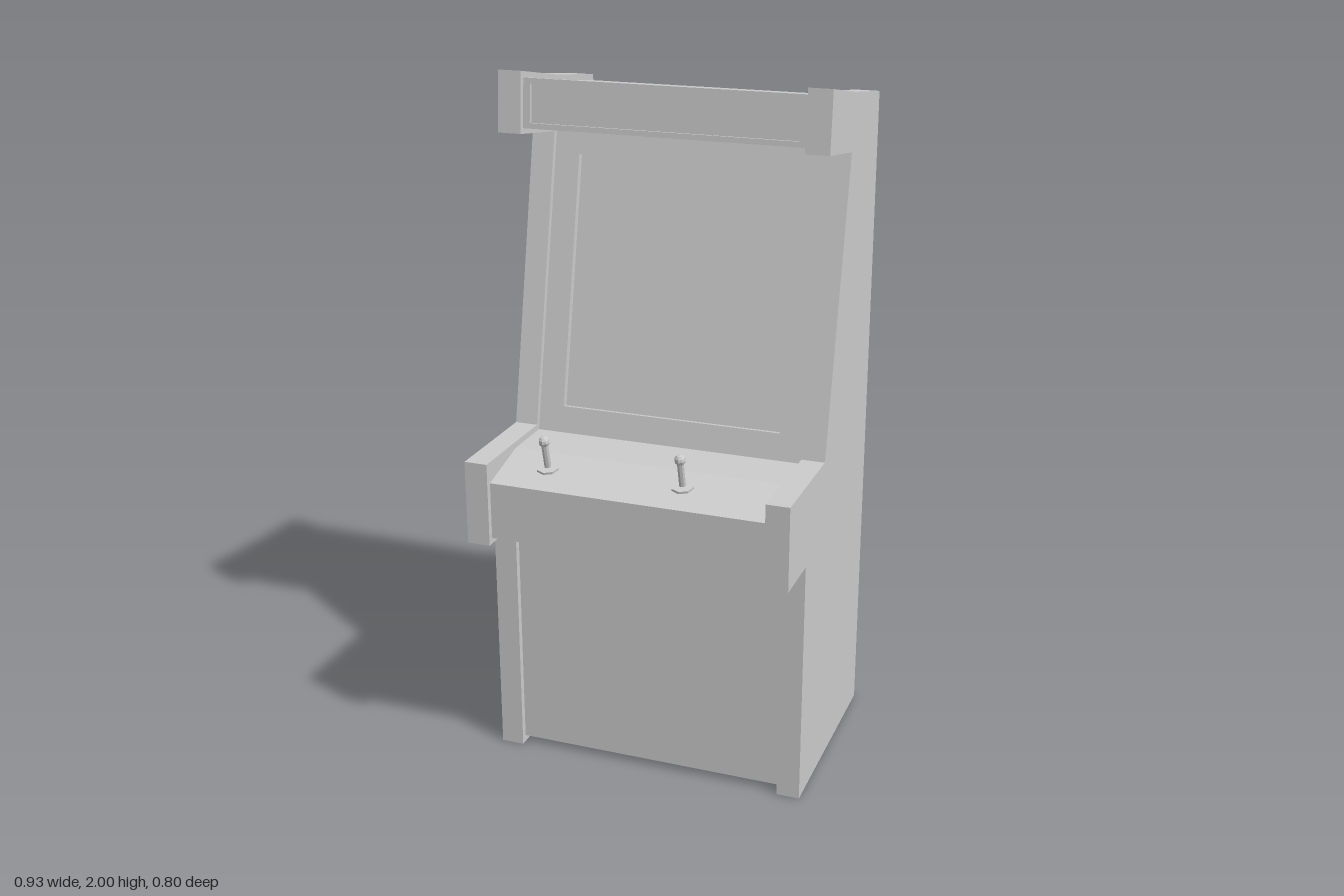
import * as THREE from 'three';

const material = new THREE.MeshStandardMaterial({ color: 0xcccccc, flatShading: true });

function part(name, geometry, parent) {
  const mesh = new THREE.Mesh(geometry, material);
  mesh.name = name;
  parent.add(mesh);
  return mesh;
}

// Extrudes a (z, y) profile across x, centred on x = 0
function profile(points, width) {
  const shape = new THREE.Shape(points.map(([z, y]) => new THREE.Vector2(z, y)));
  return new THREE.ExtrudeGeometry(shape, { depth: width, bevelEnabled: false })
    .translate(0, 0, -width / 2)
    .rotateY(-Math.PI / 2);
}

// Flat frame with a rectangular opening, leaning from bottom (z, y) to top (z, y)
function leaningFrame([z0, y0], [z1, y1], halfWidth, side, low, high, depth) {
  const length = Math.hypot(z1 - z0, y1 - y0);
  const rectangle = (x, a, b) => [[-x, a], [x, a], [x, b], [-x, b]].map(p => new THREE.Vector2(...p));
  const shape = new THREE.Shape(rectangle(halfWidth, 0, length));
  shape.holes.push(new THREE.Path(rectangle(halfWidth - side, low, length - high).reverse()));
  return new THREE.ExtrudeGeometry(shape, { depth, bevelEnabled: false })
    .translate(0, 0, -depth)
    .rotateX(Math.atan2(z1 - z0, y1 - y0))
    .translate(0, y0, z0);
}

export function createModel() {
  const cabinet = new THREE.Group();
  cabinet.name = 'arcadeCabinet';

  // Side panels
  const sideOutline = [
    [-0.4, 0], [0.232, 0], [0.232, 0.73], [0.4, 0.73], [0.4, 0.973], [0.065, 0.973],
    [-0.11, 1.8], [0.115, 1.832], [0.101, 2], [-0.13, 1.957], [-0.4, 1.918],
  ];
  for (const [name, s] of [['leftSidePanel', 1], ['rightSidePanel', -1]]) {
    part(name, profile(sideOutline, 0.067), cabinet).position.x = s * 0.4335;
  }

  // Body between the panels, set in slightly from their outline
  part('body', profile([
    [-0.385, 0.02], [0.213, 0.02], [0.213, 0.747], [0.383, 0.747], [0.383, 0.912], [0.212, 0.955],
    [0.03, 0.955], [-0.151, 1.81], [0.088, 1.844], [0.077, 1.979], [-0.13, 1.94], [-0.385, 1.903],
  ], 0.8), cabinet);

  // Raised frames around the screen and the marquee
  part('screenBezel', leaningFrame([0.052, 0.955], [-0.131, 1.812], 0.4, 0.073, 0.077, 0.074, 0.021), cabinet);
  part('marqueeFrame', leaningFrame([0.098, 1.845], [0.086, 1.98], 0.4, 0.02, 0.015, 0.015, 0.01), cabinet);

  // Joysticks standing square to the sloping deck
  for (const x of [-0.268, 0.13]) {
    const joystick = new THREE.Group();
    joystick.name = 'joystick';
    joystick.position.set(x, 0.937, 0.283);
    joystick.rotation.x = Math.atan2(0.043, 0.171);
    part('joystickBase', new THREE.CylinderGeometry(0.033, 0.033, 0.01, 8), joystick).position.y = 0.002;
    part('joystickShaft', new THREE.CylinderGeometry(0.01, 0.01, 0.09, 8), joystick).position.y = 0.045;
    part('joystickBall', new THREE.SphereGeometry(0.016, 8, 6), joystick).position.y = 0.09;
    cabinet.add(joystick);
  }

  return cabinet;
}
